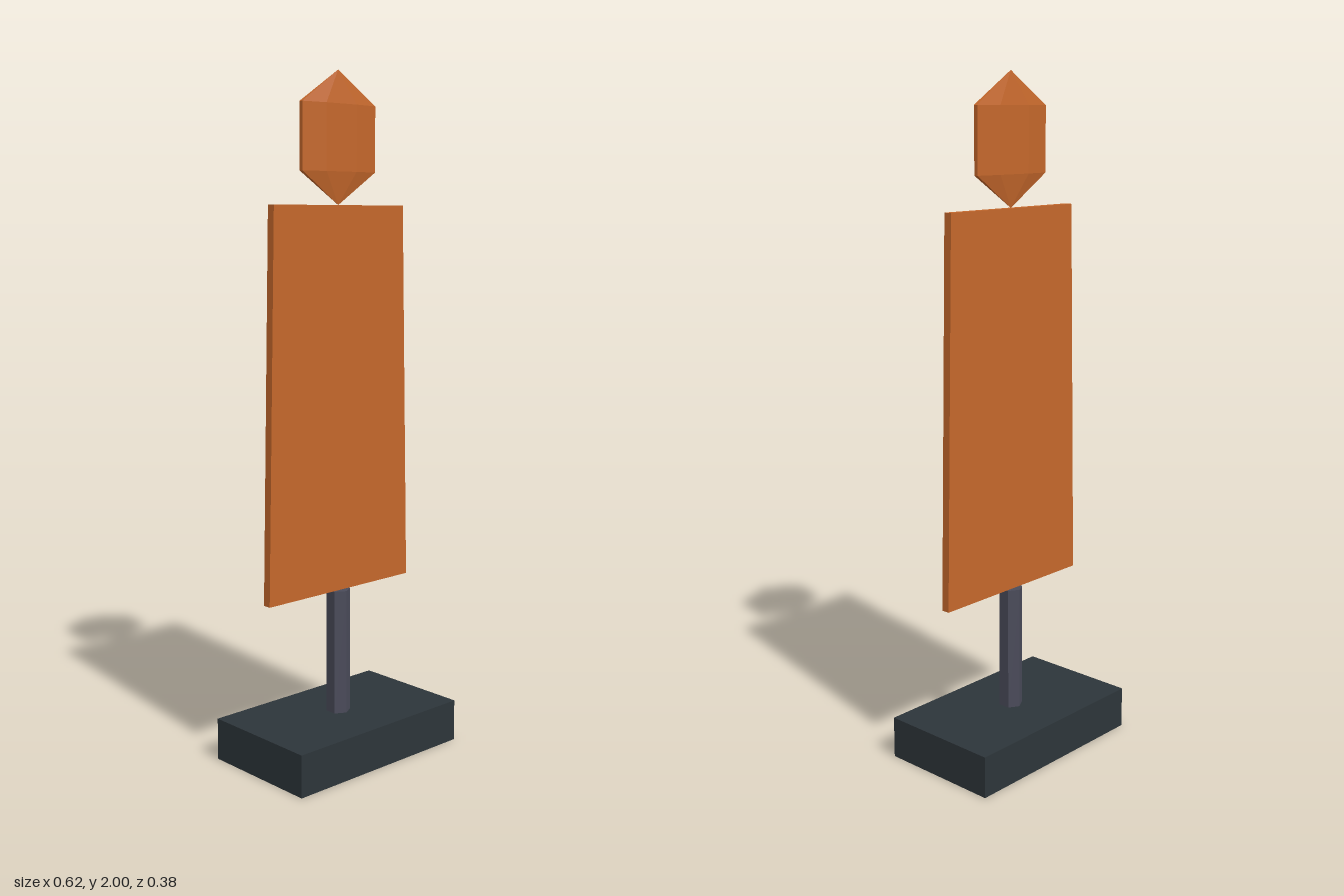
import * as THREE from 'three';

export function createModel() {
  const paint = (name, color) => {
    const m = new THREE.MeshStandardMaterial({ color, flatShading: true });
    m.name = name;
    return m;
  };
  const orange = paint('orange panel', 0xc4672b);
  const steel = paint('steel post', 0x4a4b5a);
  const slate = paint('slate base', 0x2d353a);

  const model = new THREE.Group();
  model.name = 'standingTarget';
  const add = (name, geometry, material, y) => {
    const mesh = new THREE.Mesh(geometry, material);
    mesh.name = name;
    mesh.position.y = y;
    model.add(mesh);
  };

  // heavy block the post stands on
  add('base', new THREE.BoxGeometry(0.625, 0.125, 0.375), slate, 0.0625);

  // six-sided post with a corner facing forward
  add('post', new THREE.CylinderGeometry(0.036, 0.036, 0.375, 6), steel, 0.3125);

  // thin body plate, slightly wider at the bottom
  const depth = 0.025;
  const outline = new THREE.Shape([
    new THREE.Vector2(-0.276, 0),
    new THREE.Vector2(0.276, 0),
    new THREE.Vector2(0.25, 1.125),
    new THREE.Vector2(-0.25, 1.125),
  ]);
  const plate = new THREE.ExtrudeGeometry(outline, { depth, bevelEnabled: false });
  plate.translate(0, 0, -depth / 2);
  add('bodyPlate', plate, orange, 0.5);

  // flattened faceted head, turned so a facet faces forward
  const head = new THREE.SphereGeometry(1, 8, 3);
  head.rotateY(Math.PI / 8);
  head.scale(0.175, 0.1875, 0.019);
  add('head', head, orange, 1.8125);

  return model;
}
